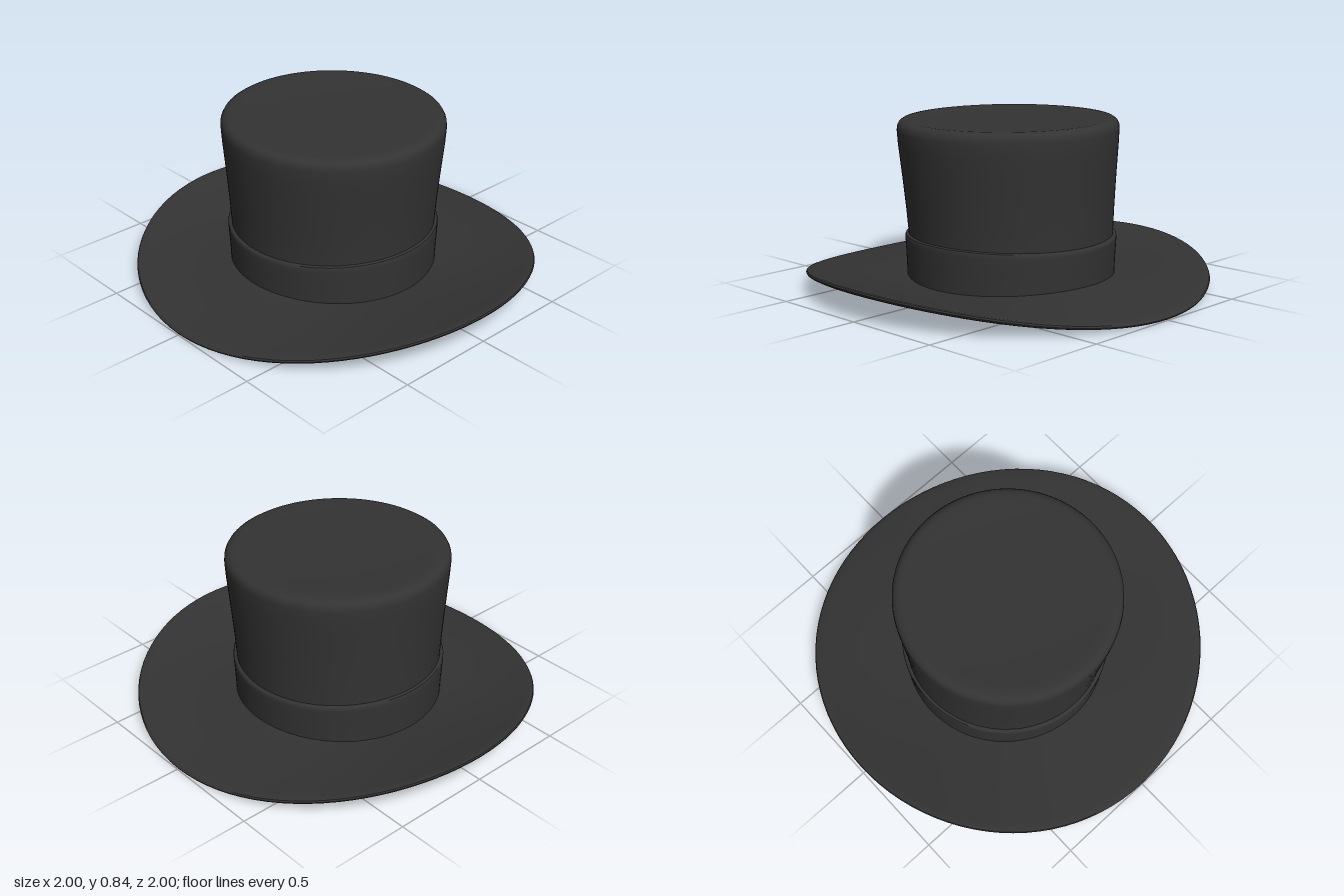
import * as THREE from 'three';
import { mergeVertices, toCreasedNormals } from 'three/addons/utils/BufferGeometryUtils.js';

const felt = new THREE.MeshStandardMaterial({ color: 0x333333, side: THREE.DoubleSide });
const clamp = THREE.MathUtils.clamp;
const lerp = THREE.MathUtils.lerp;

// Saddle curve of the brim: sides curl up, front and back dip
function brimHeight(x, z) {
  const r = Math.hypot(x, z) || 1e-6;
  const t = (r - 0.5) / 0.5;
  const side = (x / r) ** 2;
  return lerp(0.06 - 0.03 * t - 0.017 * t * t, 0.04 + 0.06 * t + 0.04 * t * t, side);
}

// Lathe a profile, then move every vertex by a rule
function warpedLathe(name, profile, warp) {
  let geo = new THREE.LatheGeometry(profile.map(([r, y]) => new THREE.Vector2(r, y)), 96);
  const pos = geo.attributes.position;
  const v = new THREE.Vector3();
  for (let i = 0; i < pos.count; i++) {
    v.fromBufferAttribute(pos, i);
    warp(v);
    pos.setXYZ(i, v.x, v.y, v.z);
  }
  geo.deleteAttribute('normal');
  geo.deleteAttribute('uv');
  geo = toCreasedNormals(mergeVertices(geo, 1e-5), 0.7);
  const mesh = new THREE.Mesh(geo, felt);
  mesh.name = name;
  return mesh;
}

// Crown and bands: the foot follows the brim, the top leans slightly
function crownWarp(v) {
  const foot = 1 - clamp(v.y / 0.26, 0, 1);
  const lean = clamp((v.y - 0.25) / 0.5, 0, 1);
  const wave = 0.02 * (v.x * v.x - v.z * v.z);
  v.y += foot * brimHeight(v.x, v.z) + (1 - foot) * (1 - lean) * wave - 0.012 * v.x * lean;
  v.x += lerp(-0.02, -0.007, lean);
  v.z += 0.007 * lean;
}

export function createModel() {
  const hat = new THREE.Group();
  hat.name = 'hat';

  // Brim: thin ring with a rounded outer edge
  const under = [], over = [];
  for (let i = 0; i <= 14; i++) {
    const r = lerp(0.5, 0.985, i / 14);
    under.push([r, -0.012]);
    over.unshift([r, 0.012]);
  }
  const rim = [[0.996, -0.008], [1, 0], [0.996, 0.008]];
  hat.add(warpedLathe('brim', [...under, ...rim, ...over, [0.5, -0.012]], (v) => {
    const r = Math.hypot(v.x, v.z);
    v.y += brimHeight(v.x, v.z);
    v.x -= 0.02 * clamp((1 - r) / 0.5, 0, 1);
  }));

  // Crown: flared hollow shell with a rounded shoulder and a slightly sunken top
  hat.add(warpedLathe('crown', [
    [0.507, 0], [0.507, 0.13], [0.508, 0.26], [0.515, 0.38], [0.524, 0.5], [0.534, 0.62],
    [0.542, 0.71], [0.546, 0.78], [0.544, 0.803], [0.535, 0.82], [0.52, 0.83], [0.5, 0.833],
    [0.46, 0.831], [0.35, 0.825], [0.18, 0.822], [0, 0.821],
  ], crownWarp));
  hat.add(warpedLathe('crownLining', [
    [0, 0.8], [0.3, 0.803], [0.48, 0.81], [0.515, 0.805], [0.53, 0.78], [0.527, 0.71],
    [0.518, 0.6], [0.508, 0.48], [0.5, 0.36], [0.496, 0.24], [0.496, 0.12], [0.5, -0.01],
  ], crownWarp));

  // Hat band around the foot of the crown
  hat.add(warpedLathe('hatBand', [
    [0.517, 0], [0.519, 0.08], [0.522, 0.16], [0.525, 0.23], [0.525, 0.25],
    [0.522, 0.26], [0.515, 0.264], [0.505, 0.264],
  ], crownWarp));

  // Sweatband inside the opening
  hat.add(warpedLathe('sweatband', [
    [0.498, 0.235], [0.491, 0.235], [0.488, 0.228], [0.488, 0.12], [0.49, 0.01], [0.5, -0.012],
  ], crownWarp));

  return hat;
}
